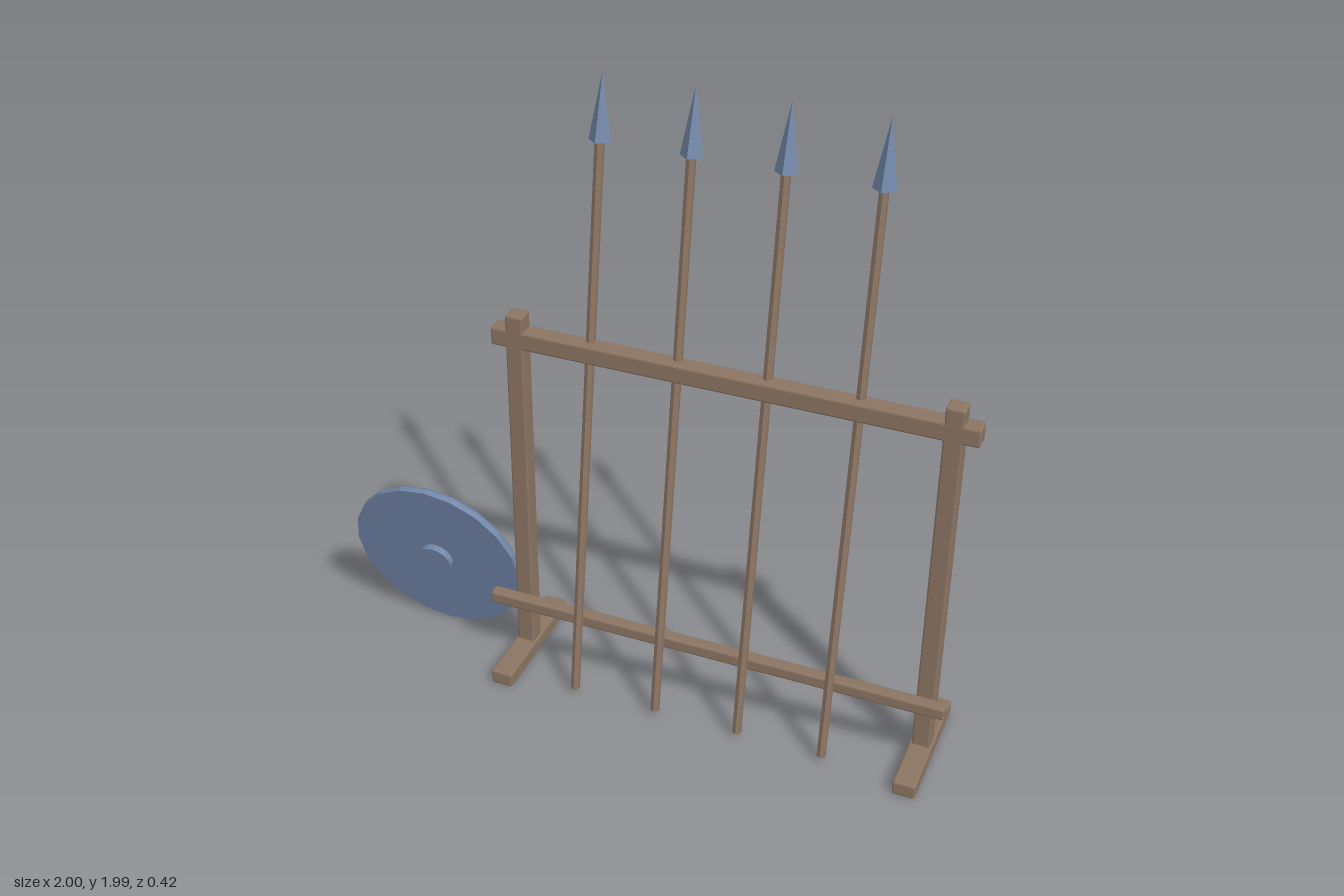
import * as THREE from 'three';
import { RoundedBoxGeometry } from 'three/addons/geometries/RoundedBoxGeometry.js';

export function createModel() {
  const model = new THREE.Group();
  model.name = 'spearRack';

  const mat = (name, color) => {
    const m = new THREE.MeshStandardMaterial({ color });
    m.name = name;
    return m;
  };
  const wood = mat('wood', 0x8b7563);
  const steel = mat('blueSteel', 0x7186a8);
  const grey = mat('shieldBack', 0x918f8a);

  // One normal per face for a low-poly look
  const flat = (geometry) => {
    const g = geometry.index ? geometry.toNonIndexed() : geometry;
    g.computeVertexNormals();
    return g;
  };
  const add = (parent, name, geometry, material, x, y, z) => {
    const mesh = new THREE.Mesh(flat(geometry), material);
    mesh.name = name;
    mesh.position.set(x, y, z);
    parent.add(mesh);
    return mesh;
  };
  // Timber with small chamfered edges
  const beam = (name, w, h, d, x, y, z) =>
    add(model, name, new RoundedBoxGeometry(w, h, d, 1, 0.006), wood, x, y, z);

  // Frame: two posts on feet, joined by two rails
  for (const [side, x] of [['right', -0.396], ['left', 0.92]]) {
    beam(side + 'Foot', 0.07, 0.048, 0.42, x, 0.024, 0);
    beam(side + 'Post', 0.056, 1.206, 0.056, x, 0.643, 0);
  }
  beam('topRail', 1.468, 0.058, 0.056, 0.262, 1.167, 0);
  beam('lowerRail', 1.468, 0.04, 0.04, 0.262, 0.259, 0.092);

  // Spears leaning back against the top rail
  const shaftLength = 1.8, headLength = 0.2;
  for (let i = 0; i < 4; i++) {
    const spear = new THREE.Group();
    spear.name = 'spear' + (i + 1);
    spear.position.set(-0.166 + i * 0.2713, 0.018, 0.152);
    spear.rotation.x = -0.137;
    add(spear, 'shaft', new THREE.CylinderGeometry(0.0145, 0.0145, shaftLength, 6),
      wood, 0, shaftLength / 2, 0);
    add(spear, 'spearhead', new THREE.ConeGeometry(0.034, headLength, 4),
      steel, 0, shaftLength - 0.01 + headLength / 2, 0);
    model.add(spear);
  }

  // Round shield tipped forward beside the rack
  const shield = new THREE.Group();
  shield.name = 'shield';
  shield.position.set(-0.709, 0.289, 0.003);
  shield.rotation.x = 0.2;
  const disc = (name, front, back, depth, z, sides, material) =>
    add(shield, name, new THREE.CylinderGeometry(front, back, depth, sides).rotateX(Math.PI / 2),
      material, 0, 0, z);
  disc('shieldFace', 0.291, 0.291, 0.02, 0.007, 20, steel);
  disc('shieldBackRim', 0.291, 0.28, 0.014, -0.01, 20, [steel, steel, grey]);
  disc('shieldBoss', 0.057, 0.057, 0.022, 0.028, 16, steel);
  model.add(shield);

  return model;
}
